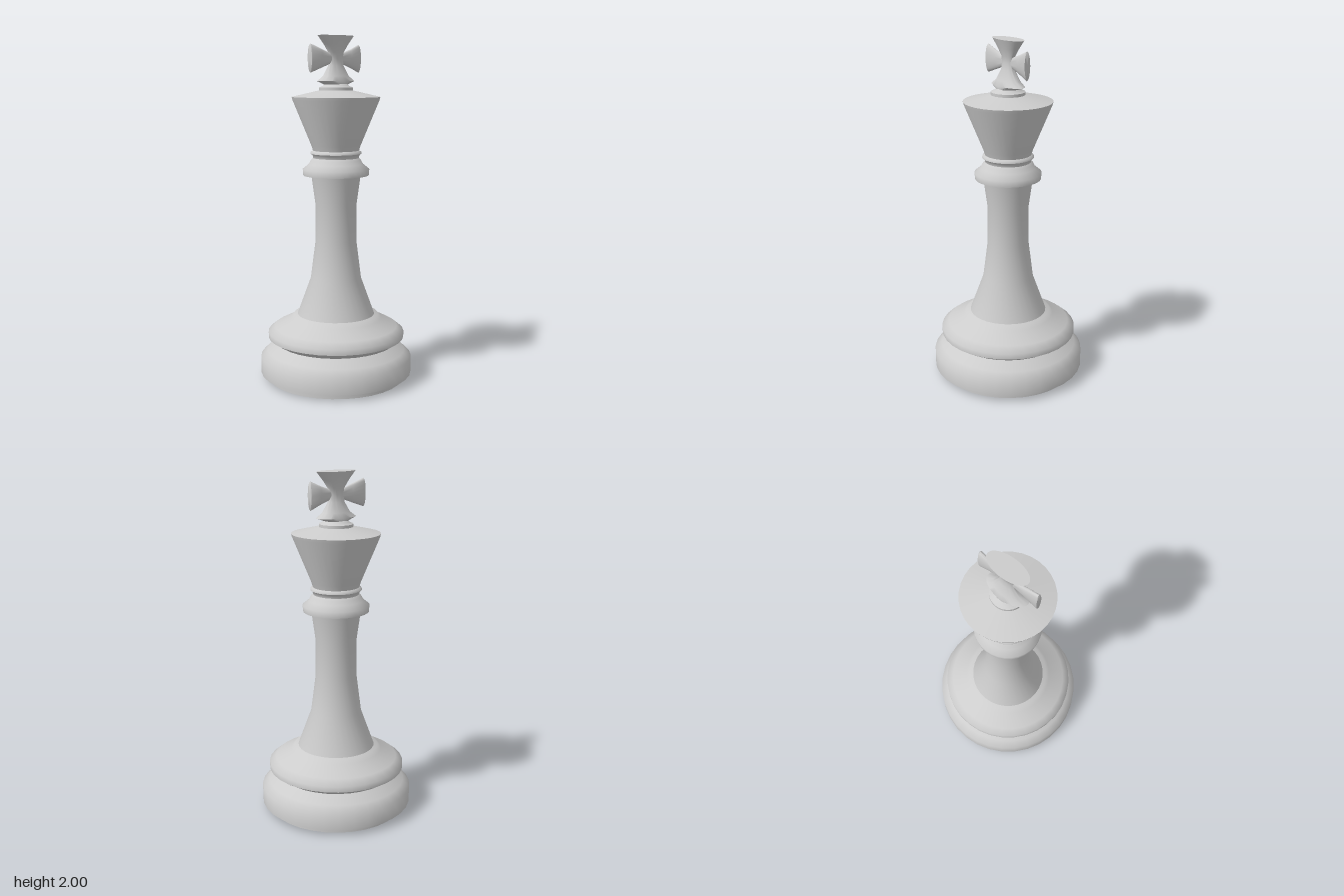
import * as THREE from 'three';
import { toCreasedNormals } from 'three/addons/utils/BufferGeometryUtils.js';

const ivory = new THREE.MeshStandardMaterial({ color: 0xcccccc });
ivory.name = 'paleGrey';

// Stack of elliptical sections [y, half width x, half depth z], listed bottom to top
function loft(name, sections, segments = 32, crease = 1.0) {
  const points = sections.map(([y]) => new THREE.Vector2(1, y));
  const geometry = new THREE.LatheGeometry(points, segments);
  const pos = geometry.attributes.position;
  for (let i = 0; i < pos.count; i++) {
    const [, a, b] = sections[i % sections.length];
    pos.setX(i, pos.getX(i) * a);
    pos.setZ(i, pos.getZ(i) * b);
  }
  const mesh = new THREE.Mesh(toCreasedNormals(geometry, crease), ivory);
  mesh.name = name;
  return mesh;
}

// Round turned part from [radius, y] pairs
const turned = (name, profile) => loft(name, profile.map(([r, y]) => [y, r, r]));

export function createModel() {
  const model = new THREE.Group();
  model.name = 'chessKing';

  model.add(
    turned('base', [
      [0, 0], [0.4, 0], [0.4, 0.037], [0.445, 0.037], [0.445, 0.135],
      [0.405, 0.172], [0.345, 0.215], [0.4, 0.25], [0.4, 0.283], [0.36, 0.315],
      [0.268, 0.362], [0.247, 0.385], [0, 0.388],
    ]),
    turned('column', [
      [0.226, 0.385], [0.148, 0.6], [0.12, 0.82], [0.12, 1.04], [0.143, 1.205],
    ]),
    turned('collar', [
      [0, 1.205], [0.19, 1.207], [0.193, 1.243], [0.157, 1.272], [0.145, 1.295],
      [0.132, 1.307], [0.135, 1.322], [0.148, 1.332], [0.146, 1.343], [0.13, 1.352],
    ]),
    turned('head', [
      [0.13, 1.34], [0.142, 1.378], [0.249, 1.638], [0.254, 1.656], [0.095, 1.693],
    ]),
    turned('finial', [
      [0.097, 1.685], [0.097, 1.709], [0.074, 1.719], [0.066, 1.73], [0, 1.735],
    ]),
  );

  // Flared cross: upright with a pinched waist
  const cross = new THREE.Group();
  cross.name = 'cross';
  cross.add(loft('crossUpright', [
    [1.722, 0, 0], [1.727, 0.072, 0.066], [1.745, 0.13, 0.067], [1.773, 0.088, 0.052],
    [1.83, 0.053, 0.03], [1.87, 0.048, 0.022], [1.905, 0.053, 0.026],
    [1.95, 0.085, 0.04], [2, 0.127, 0.059], [2, 0, 0],
  ]));

  // Side arms, lofted along y then laid along x; section width becomes height
  for (const [side, reach] of [[1, 0.177], [-1, 0.193]]) {
    const arm = loft(side > 0 ? 'leftCrossArm' : 'rightCrossArm', [
      [0, 0.032, 0.012], [0.05, 0.032, 0.013], [0.11, 0.053, 0.016],
      [reach - 0.004, 0.08, 0.021], [reach, 0.074, 0.019], [reach, 0, 0],
    ], 20);
    arm.rotation.z = -side * Math.PI / 2;
    arm.position.y = 1.872;
    cross.add(arm);
  }
  model.add(cross);
  return model;
}
